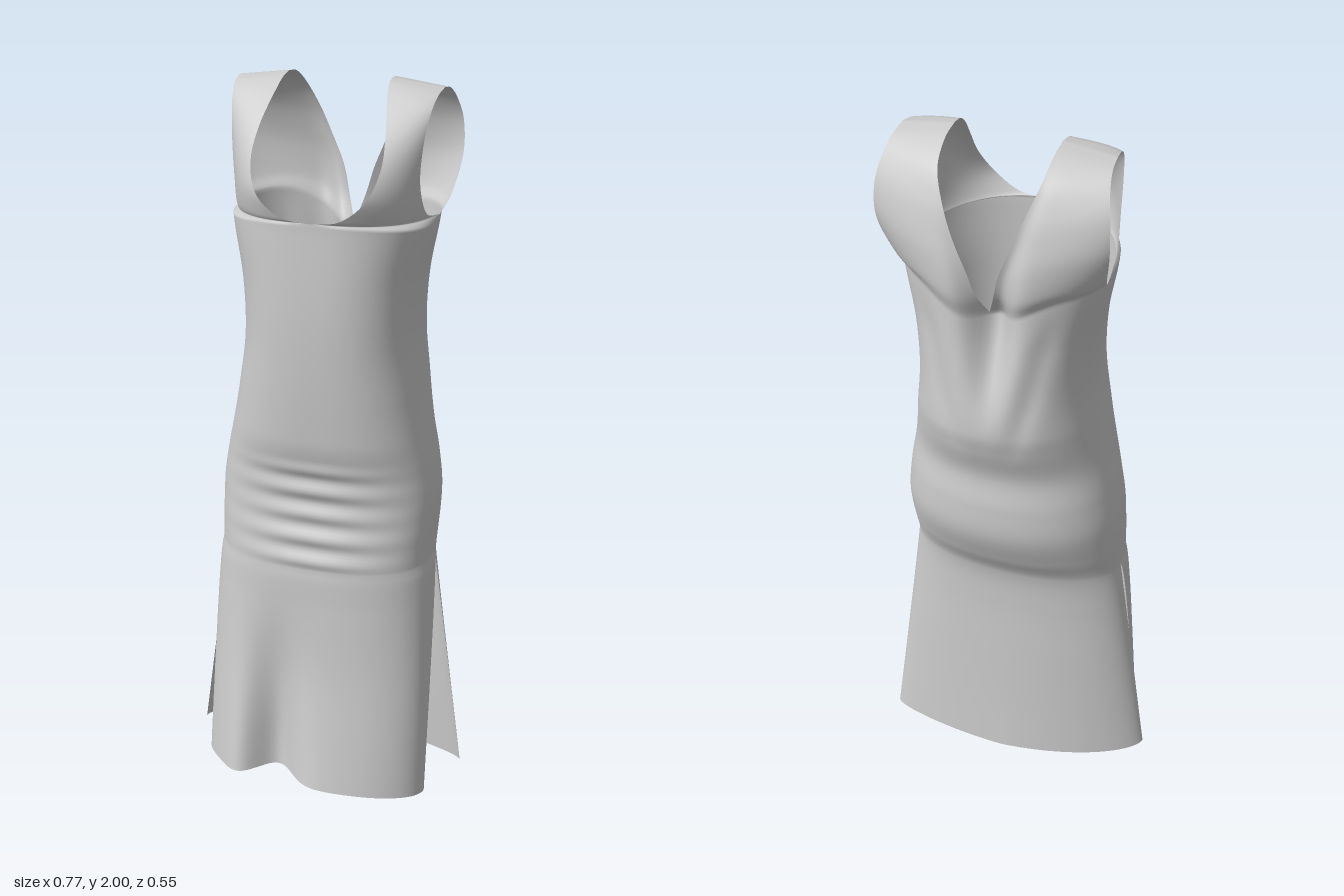
import * as THREE from 'three';
import { mergeVertices } from 'three/addons/utils/BufferGeometryUtils.js';

const N = 36;        // columns in a half panel
const SLIT = 0.72;   // height where the side slits begin
const ARM = 1.66;    // underarm height
const lerp = THREE.MathUtils.lerp;
const bell = (x, c, w) => Math.exp(-(((x - c) / w) ** 2));
const step = (x, a, b) => THREE.MathUtils.smoothstep(x, a, b);

// Smooth profile through [y, value] pairs
function profile(p) {
  const slope = (i) => {
    const a = p[Math.max(i - 1, 0)], b = p[Math.min(i + 1, p.length - 1)];
    return (b[1] - a[1]) / (b[0] - a[0]);
  };
  return (y) => {
    let i = 0;
    while (i < p.length - 2 && y > p[i + 1][0]) i++;
    const h = p[i + 1][0] - p[i][0];
    const t = THREE.MathUtils.clamp((y - p[i][0]) / h, 0, 1), t2 = t * t, t3 = t2 * t;
    return (2 * t3 - 3 * t2 + 1) * p[i][1] + (t3 - 2 * t2 + t) * h * slope(i)
      + (3 * t2 - 2 * t3) * p[i + 1][1] + (t3 - t2) * h * slope(i + 1);
  };
}

const centreX = profile([[0, 0], [0.72, 0.009], [0.9, 0.015], [1.3, 0.02], [1.66, 0.017]]);
const halfWidth = profile([[0.72, 0.298], [0.9, 0.3], [1.0, 0.287], [1.1, 0.267], [1.2, 0.25],
  [1.35, 0.231], [1.5, 0.236], [1.66, 0.262], [1.8, 0.267]]);
const frontZ = profile([[0, 0.288], [0.2, 0.25], [0.4, 0.217], [0.6, 0.2], [0.72, 0.195], [0.8, 0.188],
  [0.9, 0.178], [1.0, 0.182], [1.1, 0.2], [1.4, 0.213], [1.66, 0.204], [1.74, 0.196], [1.82, 0.15],
  [1.9, 0.085], [1.965, 0.015], [2, -0.07]]);
const backZ = profile([[0, -0.155], [0.2, -0.15], [0.4, -0.148], [0.6, -0.148], [0.72, -0.16], [0.8, -0.2],
  [0.9, -0.238], [1.0, -0.243], [1.1, -0.235], [1.2, -0.265], [1.26, -0.278], [1.4, -0.273], [1.66, -0.259],
  [1.8, -0.25], [1.9, -0.225], [2, -0.07]]);
const seamZ = profile([[0.72, -0.012], [1.2, -0.03], [1.66, -0.07]]);

// Roundness of a cross-section: 2 is an ellipse, more is boxier
const roundness = (front, open) => front ? lerp(2.6, 2, open) : lerp(2.2, 1.6, open);

// Point of the cloth: angle a runs 0..PI from left seam to right seam
function cloth(front, a, y) {
  const c = Math.cos(a), s = Math.max(Math.sin(a), 0);
  const open = Math.max(0, (SLIT - y) / SLIT), k = open ** 0.85;
  const w = y > SLIT ? halfWidth(y) : 0.298 + (front ? 0.027 * Math.sqrt(open) : 0.092 * open);
  const e = 2 / roundness(front, open);
  const x = centreX(y) + w * Math.sign(c) * Math.abs(c) ** e;
  const side = lerp(seamZ(Math.max(y, SLIT)), front ? 0.105 + 0.01 * c : -0.04 - 0.03 * c, k);
  let z = lerp(side, front ? frontZ(y) : backZ(y), s ** e);
  if (front) {
    // belly gathers and the hanging fold of the skirt
    const gathers = step(y, 0.68, 0.75) * (1 - step(y, 0.99, 1.06));
    z += 0.006 * gathers * Math.sin((y - 0.73) * 2 * Math.PI / 0.068 + x) * bell(x, 0.015, 0.17) * s;
    const fold = step(open, 0.05, 1);
    z += fold * (0.03 * s * bell(x, -0.2, 0.06) - 0.085 * bell(x, -0.085, 0.07));
  } else {
    // cowl fold below the back neckline, with slanted drapes beside it
    const drape = step(y, 1.26, 1.6);
    z += 0.08 * drape * bell(x, 0, 0.035 + 0.015 * drape);
    for (const m of [-1, 1]) {
      z += 0.01 * s * step(y, 1.15, 1.35) * (1 - step(y, 1.5, 1.66))
        * bell(m * (x - 0.015), 0.1 + (y - 1.3) * 0.22, 0.03);
    }
  }
  return new THREE.Vector3(x, y, z);
}

// Angle at which the cloth passes a point
function angleAt(front, p) {
  const r = THREE.MathUtils.clamp((p.x - centreX(p.y)) / halfWidth(p.y), -1, 1);
  return Math.acos(Math.sign(r) * Math.abs(r) ** (roundness(front, 0) / 2));
}

const hemY = (front, a) => front
  ? 0.025 - 0.015 * Math.cos(a) + 0.04 * Math.sin(a)
  : 0.022 - 0.022 * Math.cos(a);
const topY = (front, a) => ARM + (front ? 0.03 * Math.sin(a) ** 2 : -0.08 * Math.max(Math.sin(a), 0) ** 8);

// Armhole and neckline edges of the straps, underarm to shoulder
const EDGES = {
  Front: {
    arm: [[0.25, 1.685, 0.015], [0.242, 1.77, 0.058], [0.247, 1.87, 0.052], [0.256, 1.94, 0.02],
      [0.263, 1.972, -0.02], [0.268, 1.983, -0.07]],
    neck: [[0.075, 1.7, 0.2], [0.138, 1.75, 0.19], [0.165, 1.82, 0.148], [0.162, 1.89, 0.095],
      [0.144, 1.965, 0.015], [0.137, 1.993, -0.03], [0.135, 2, -0.07]],
  },
  Back: {
    arm: [[0.275, 1.69, -0.145], [0.294, 1.79, -0.192], [0.292, 1.88, -0.19], [0.28, 1.94, -0.16],
      [0.272, 1.972, -0.12], [0.268, 1.983, -0.07]],
    neck: [[0.022, 1.645, -0.235], [0.042, 1.72, -0.25], [0.07, 1.79, -0.25], [0.1, 1.87, -0.235],
      [0.127, 1.945, -0.195], [0.134, 1.988, -0.13], [0.135, 2, -0.07]],
  },
};

export function createModel() {
  const positions = [], index = [], parts = [];

  // Grid of cloth; fn(u, v) gives points, flip turns the faces
  function grid(name, cols, rows, flip, fn) {
    const base = positions.length / 3, start = index.length;
    for (let j = 0; j <= rows; j++) {
      for (let i = 0; i <= cols; i++) positions.push(...fn(i / cols, j / rows).toArray());
    }
    for (let j = 0; j < rows; j++) {
      for (let i = 0; i < cols; i++) {
        const a = base + j * (cols + 1) + i, b = a + 1, d = a + cols + 1, c = d + 1;
        index.push(...(flip ? [a, c, b, a, d, c] : [a, b, c, a, c, d]));
      }
    }
    parts.push({ name, start, end: index.length });
  }

  for (const front of [true, false]) {
    const tag = front ? 'Front' : 'Back';

    // Skirt panels (split at the sides) and bodice panels
    grid('skirt' + tag, 2 * N, 40, front, (u, v) =>
      cloth(front, u * Math.PI, lerp(hemY(front, u * Math.PI), SLIT, v)));
    grid('bodice' + tag, 2 * N, 110, front, (u, v) =>
      cloth(front, u * Math.PI, lerp(SLIT, topY(front, u * Math.PI), v)));

    // Shoulder straps: the front carries on the chest's curve, the back soon lies flat
    for (const m of [1, -1]) {
      const row = (s) => {
        const a = m > 0 ? s * Math.PI / 2 : Math.PI - s * Math.PI / 2;
        return cloth(front, a, topY(front, a));
      };
      const curve = (first, pts) => new THREE.CatmullRomCurve3(
        [first, ...pts.map(([x, y, z]) => new THREE.Vector3(0.015 + m * x, y, z))]);
      const arm = curve(row(0), EDGES[tag].arm), neck = curve(row(1), EDGES[tag].neck);
      grid((m > 0 ? 'left' : 'right') + 'Strap' + tag, N, 40, front === (m > 0), (s, t) => {
        const p = arm.getPoint(t), q = neck.getPoint(t);
        if (!front) {
          const bulge = row(s).sub(row(0).lerp(row(1), s));
          return p.lerp(q, s).addScaledVector(bulge, (1 - t) ** 3);
        }
        const a = angleAt(front, p), b = angleAt(front, q), mid = lerp(a, b, s);
        const y = t === 0 ? topY(front, mid) : lerp(p.y, q.y, s);
        const chord = cloth(front, a, p.y).lerp(cloth(front, b, q.y), s);
        const bulge = cloth(front, mid, y).sub(chord);
        return p.lerp(q, s).addScaledVector(bulge, 1 - t ** 3);
      });
    }
  }

  // Weld the seams so that shading runs smoothly from part to part
  let whole = new THREE.BufferGeometry();
  whole.setAttribute('position', new THREE.Float32BufferAttribute(positions, 3));
  whole.setIndex(index);
  whole = mergeVertices(whole, 1e-4);
  whole.computeVertexNormals();

  const material = new THREE.MeshStandardMaterial({ color: 0xcccccc, side: THREE.DoubleSide });
  const dress = new THREE.Group();
  dress.name = 'dress';
  const welded = Array.from(whole.index.array);
  for (const { name, start, end } of parts) {
    const part = whole.clone();
    part.setIndex(welded.slice(start, end));
    const mesh = new THREE.Mesh(part.toNonIndexed(), material);
    mesh.name = name;
    dress.add(mesh);
  }
  return dress;
}
